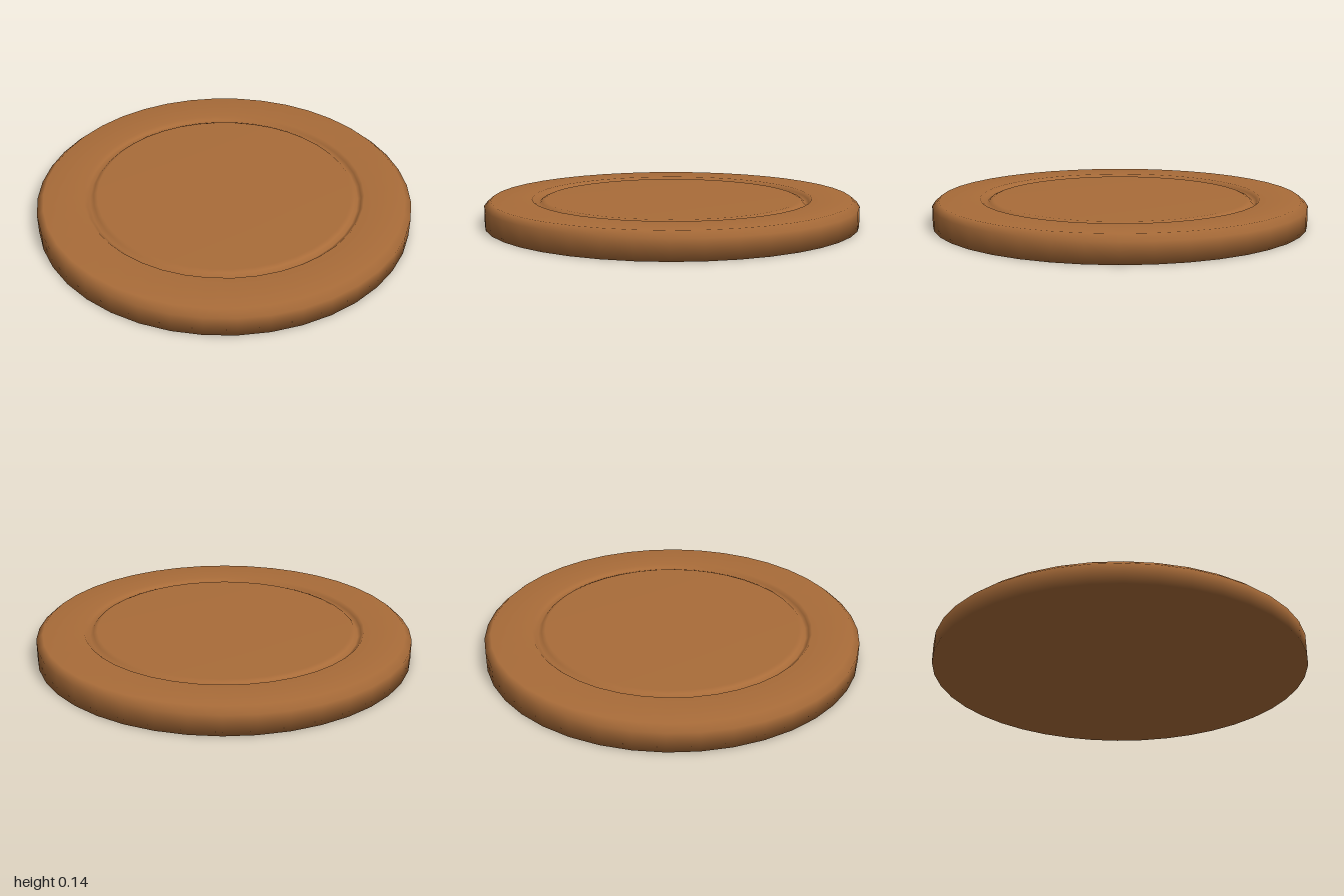
import * as THREE from 'three';
import { mergeVertices } from 'three/addons/utils/BufferGeometryUtils.js';

const SEGMENTS = 40;

// Revolved profile with one continuous smooth-shaded skin (no seam)
function smoothLathe(profile) {
  const lathe = new THREE.LatheGeometry(profile.map(([r, y]) => new THREE.Vector2(r, y)), SEGMENTS);
  lathe.deleteAttribute('normal');
  lathe.deleteAttribute('uv');
  const geometry = mergeVertices(lathe, 1e-4);
  geometry.computeVertexNormals();
  return geometry;
}

export function createModel() {
  const group = new THREE.Group();
  group.name = 'woodenPlate';

  const wood = new THREE.MeshStandardMaterial({ color: 0xa96c39 });
  wood.name = 'warm brown wood';

  // Underside, side wall, bevelled edge, flat rim, groove and centre
  const plate = new THREE.Mesh(smoothLathe([
    [0, 0], [1, 0],
    [1, 0.105], [0.965, 0.135],
    [0.75, 0.135], [0.735, 0.118], [0.718, 0.105],
    [0.70, 0.122], [0.68, 0.13], [0, 0.13],
  ]), wood);
  plate.name = 'plate';
  group.add(plate);

  return group;
}
